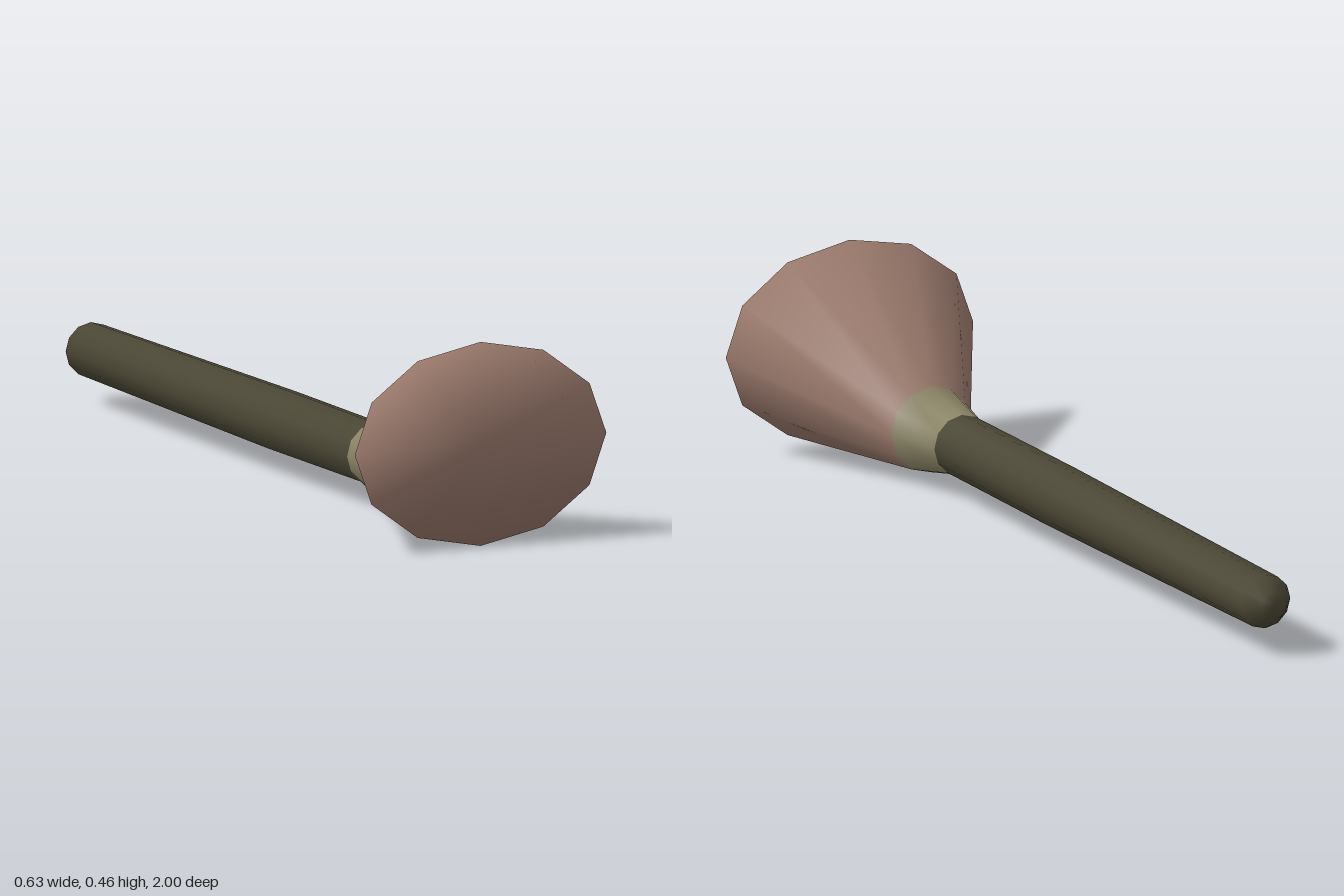
import * as THREE from 'three';

const SIDES = 12;

// Cross-sections along the length: [z, centre y, half width, half height]
const RINGS = [
  [-1.0, 0.121, 0.033, 0.032],
  [-0.96, 0.121, 0.063, 0.062],
  [0.0, 0.121, 0.072, 0.071],
  [0.47, 0.122, 0.07, 0.07],
  [0.615, 0.122, 0.1, 0.1],
  [1.0, 0.233, 0.314, 0.232],
];

export function createModel() {
  const group = new THREE.Group();
  group.name = 'brush';

  const material = (name, color) => {
    const m = new THREE.MeshStandardMaterial({ color });
    m.name = name;
    return m;
  };

  // Ring vertices, then one centre vertex for each end cap
  const positions = [];
  for (const [z, cy, rx, ry] of RINGS) {
    for (let i = 0; i < SIDES; i++) {
      const a = (i / SIDES) * Math.PI * 2;
      positions.push(rx * Math.cos(a), cy + ry * Math.sin(a), z);
    }
  }
  const backCentre = positions.length / 3;
  const frontCentre = backCentre + 1;
  const last = RINGS.length - 1;
  positions.push(0, RINGS[0][1], -1, 0, RINGS[last][1], 1);

  // Faces of the walls between two rings
  const wall = (from, to) => {
    const faces = [];
    for (let r = from; r < to; r++) {
      for (let i = 0; i < SIDES; i++) {
        const j = (i + 1) % SIDES;
        const a = r * SIDES + i, b = r * SIDES + j;
        faces.push(a, b, b + SIDES, a, b + SIDES, a + SIDES);
      }
    }
    return faces;
  };

  // Fan that closes one end
  const cap = (ring, centre, front) => {
    const faces = [];
    for (let i = 0; i < SIDES; i++) {
      const a = ring * SIDES + i, b = ring * SIDES + ((i + 1) % SIDES);
      faces.push(centre, front ? a : b, front ? b : a);
    }
    return faces;
  };

  const parts = [
    ['handle', [...cap(0, backCentre, false), ...wall(0, 3)], material('dark olive', 0x4a4634)],
    ['ferrule', wall(3, 4), material('khaki', 0x8a8466)],
    ['bristles', [...wall(4, 5), ...cap(last, frontCentre, true)], material('dusty brown', 0x967669)],
  ];

  // Smooth normals run over the whole body, including the rim of the bristles
  const body = new THREE.BufferGeometry();
  body.setAttribute('position', new THREE.Float32BufferAttribute(positions, 3));
  body.setIndex(parts.flatMap(([, faces]) => faces));
  body.computeVertexNormals();

  for (const [name, faces, mat] of parts) {
    const geometry = body.clone();
    geometry.setIndex(faces);
    const mesh = new THREE.Mesh(geometry, mat);
    mesh.name = name;
    group.add(mesh);
  }
  return group;
}
